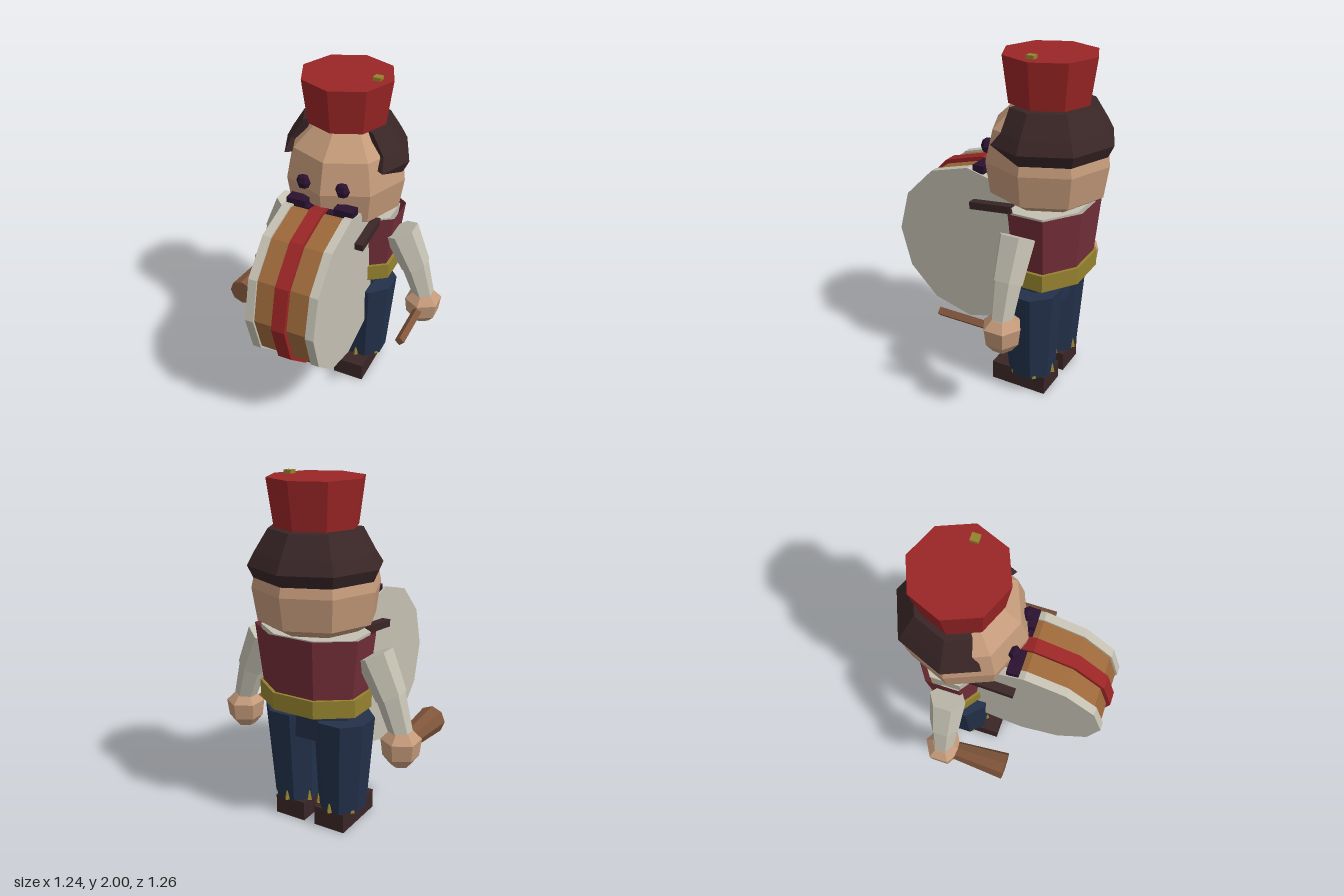
import * as THREE from 'three';

const mat = (name, color, side = THREE.FrontSide) => {
  const m = new THREE.MeshStandardMaterial({ color, flatShading: true, side });
  m.name = name;
  return m;
};

export function createModel() {
  const skin = mat('skin', 0xc49a7a);
  const dark = mat('darkBrown', 0x3a2627, THREE.DoubleSide);
  const red = mat('red', 0x9a2525);
  const maroon = mat('maroon', 0x732e38, THREE.DoubleSide);
  const white = mat('offWhite', 0xc4c0b2);
  const navy = mat('navy', 0x23314b);
  const gold = mat('gold', 0x95822e);
  const tan = mat('drumWood', 0x9c683a);
  const wood = mat('stickWood', 0x80553b);
  const plum = mat('plum', 0x2a1230);

  const model = new THREE.Group();
  model.name = 'drummer';
  const add = (name, geo, material, x = 0, y = 0, z = 0) => {
    const mesh = new THREE.Mesh(geo, material);
    mesh.name = name;
    mesh.position.set(x, y, z);
    model.add(mesh);
    return mesh;
  };
  const box = (w, h, d) => new THREE.BoxGeometry(w, h, d);
  // Octagonal frustum with flat front, back and sides, sized by half widths
  const octagon = (top, bottom, h, depthRatio = 1, open = false) => {
    const k = 1 / Math.cos(Math.PI / 8);
    return new THREE.CylinderGeometry(top * k, bottom * k, h, 8, 1, open)
      .rotateY(Math.PI / 8).scale(1, 1, depthRatio);
  };
  const lathe = (profile, sides) =>
    new THREE.LatheGeometry(profile.map(([r, y]) => new THREE.Vector2(r, y)), sides);

  const CZ = -0.255;

  // Head
  add('head', lathe([[0, 1.18], [0.25, 1.18], [0.33, 1.23], [0.357, 1.41], [0.315, 1.59], [0.19, 1.71], [0, 1.72]], 8), skin, 0, 0, CZ);

  // Hair: octagonal shell around the back and sides; reach is how far it wraps forward
  const hairRings = [
    { y: 1.46, r: 0.343, reach: 0.03 }, { y: 1.53, r: 0.376, reach: 0.74 },
    { y: 1.6, r: 0.338, reach: 0.6 }, { y: 1.72, r: 0.262, reach: 0.7 }, { y: 1.735, r: 0.1, reach: 0.7 },
  ];
  const pos = [], idx = [];
  const d = Math.SQRT1_2;
  for (const { y, r, reach } of hairRings) {
    const ex = 1 + (d - 1) * reach, ez = d * reach;
    const ring = [[ex * 0.8, ez * 0.8], [ex, ez], [1, 0], [d, -d], [0, -1], [-d, -d], [-1, 0], [-ex, ez], [-ex * 0.8, ez * 0.8]];
    for (const [x, z] of ring) pos.push(x * r, y, z * r);
  }
  for (let i = 0; i < hairRings.length - 1; i++) {
    for (let j = 0; j < 8; j++) {
      const a = i * 9 + j, b = a + 9;
      idx.push(a, a + 1, b, a + 1, b + 1, b);
    }
  }
  const hair = new THREE.BufferGeometry();
  hair.setAttribute('position', new THREE.Float32BufferAttribute(pos, 3));
  hair.setIndex(idx);
  hair.computeVertexNormals();
  add('hair', hair, dark, 0, 0, CZ);

  // Hat
  add('hat', new THREE.CylinderGeometry(0.265, 0.23, 0.255, 8), red, 0, 1.853, CZ);
  add('hatButton', box(0.045, 0.03, 0.045), gold, 0.182, 1.985, -0.235);

  // Torso
  add('shirt', octagon(0.3, 0.245, 0.45, 0.7), white, 0, 0.945, -0.285);
  add('vest', octagon(0.33, 0.29, 0.35, 0.71, true), maroon, 0, 1.0, -0.29);
  add('belt', octagon(0.31, 0.31, 0.1, 0.72), gold, 0, 0.79, -0.29);
  add('hips', octagon(0.22, 0.22, 0.2, 0.62), navy, 0, 0.64, -0.245);

  // Drum
  const disc = (name, r, w, material, x) =>
    add(name, new THREE.CylinderGeometry(r, r, w, 12).rotateZ(Math.PI / 2), material, x, 0.855, 0.143);
  disc('drumShell', 0.463, 0.32, tan, 0);
  disc('drumBand', 0.488, 0.08, red, 0);

  // Moustache middle
  add('moustacheMiddle', box(0.18, 0.035, 0.07), plum, 0, 1.3, 0.075);

  for (const s of [1, -1]) {
    // Drum ends: red edge showing around each pale skin
    disc('drumRim', 0.476, 0.05, white, s * 0.181);

    // Face details
    add('eye', new THREE.SphereGeometry(0.046, 6, 4).scale(0.95, 1, 0.75), plum, s * 0.117, 1.45, 0.062);
    add('moustacheEnd', box(0.115, 0.045, 0.07), plum, s * 0.1425, 1.332, 0.075);

    // Drum strap
    add('drumStrap', box(0.05, 0.042, 0.26), dark, s * 0.235, 1.148, -0.03).rotation.x = 0.1;

    // Arm segments
    const limb = (name, [x1, y1], [x2, y2], r1, r2) => {
      const len = Math.hypot(x1 - x2, y1 - y2);
      const m = add(name, new THREE.CylinderGeometry(r1, r2, len, 6), white, s * (x1 + x2) / 2, (y1 + y2) / 2, CZ);
      m.rotation.z = s * Math.atan2(x2 - x1, y1 - y2);
    };
    limb('upperArm', [0.355, 1.07], [0.46, 0.85], 0.105, 0.088);
    limb('forearm', [0.452, 0.87], [0.525, 0.65], 0.083, 0.064);
    add('hand', lathe([[0, 0.47], [0.058, 0.472], [0.1, 0.525], [0.112, 0.62], [0.065, 0.667], [0, 0.668]], 6), skin, s * 0.525, 0, CZ);

    // Leg, tapered and leaning slightly inward
    const leg = octagon(0.16, 0.128, 0.555);
    const p = leg.attributes.position;
    for (let i = 0; i < p.count; i++) if (p.getY(i) > 0) p.setX(i, p.getX(i) + s * 0.012);
    add('trouserLeg', leg, navy, s * 0.153, 0.393, -0.25);

    // Cuff spikes
    for (let i = 0; i < 6; i++) {
      const a = i * Math.PI / 3;
      add('cuffSpike', new THREE.CylinderGeometry(0.005, 0.017, 0.055, 4), gold,
        s * 0.145 + Math.sin(a) * 0.13, 0.143, -0.25 + Math.cos(a) * 0.13);
    }
    add('shoe', box(0.195, 0.116, 0.345), dark, s * 0.133, 0.058, -0.197);
  }

  // Red edges bordering the drum ends
  for (const s of [1, -1]) disc('drumEdge', 0.487, 0.006, red, s * 0.037);

  // Thin stick in the left hand, heavy beater in the right
  add('drumStick', new THREE.CylinderGeometry(0.028, 0.028, 0.36, 4).rotateX(Math.PI / 2), wood, 0.522, 0.583, -0.04);
  add('beater', new THREE.CylinderGeometry(0.082, 0.052, 0.36, 8).rotateX(Math.PI / 2), wood, -0.525, 0.583, -0.043);

  return model;
}
